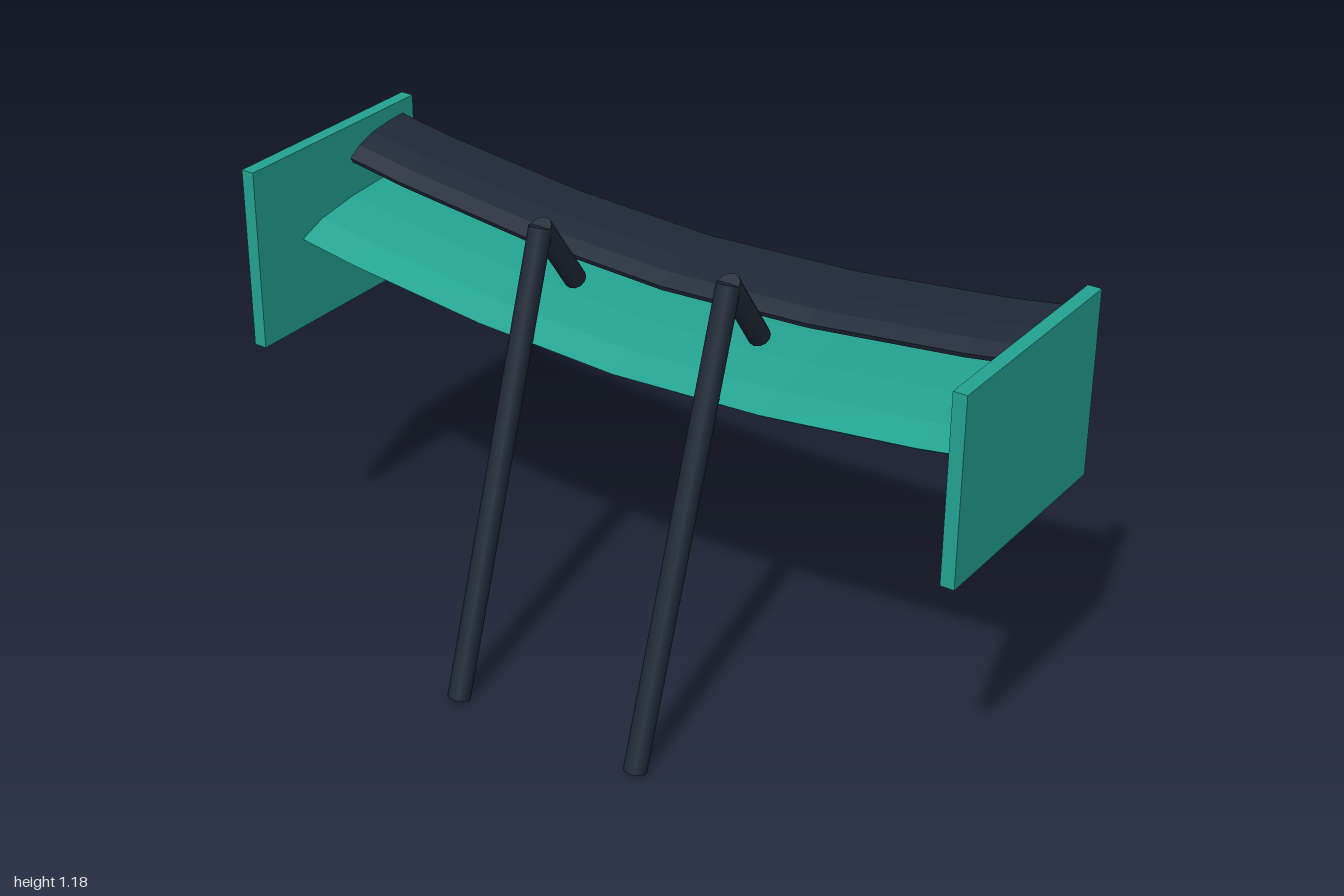
import * as THREE from 'three';

const STATIONS = [-0.97, -0.8, -0.4, 0, 0.4, 0.8, 0.97];

// Loft a closed [z, y] profile across the span; the tips rise and sweep back.
function loftWing(profile) {
  const at = (x, [z, y]) => [x, y + 0.08 * (x / 0.97) ** 2, z - 0.02 * Math.abs(x) / 0.97];
  const n = profile.length;
  const pos = [];
  for (let i = 0; i < STATIONS.length - 1; i++) {
    for (let j = 0; j < n; j++) {
      const p = profile[j], q = profile[(j + 1) % n];
      const a = at(STATIONS[i], p), b = at(STATIONS[i], q);
      const c = at(STATIONS[i + 1], q), d = at(STATIONS[i + 1], p);
      pos.push(...a, ...d, ...c, ...a, ...c, ...b);
    }
  }
  const g = new THREE.BufferGeometry();
  g.setAttribute('position', new THREE.Float32BufferAttribute(pos, 3));
  g.computeVertexNormals();
  return g;
}

// Round bar between two points.
function bar(from, to, radius) {
  const dir = to.clone().sub(from);
  const g = new THREE.CylinderGeometry(radius, radius, dir.length(), 12);
  g.applyQuaternion(new THREE.Quaternion().setFromUnitVectors(
    new THREE.Vector3(0, 1, 0), dir.clone().normalize()));
  const mid = from.clone().add(to).multiplyScalar(0.5);
  return g.translate(mid.x, mid.y, mid.z);
}

export function createModel() {
  const group = new THREE.Group();
  const teal = new THREE.MeshStandardMaterial({ color: 0x24a493 });
  teal.name = 'teal paint';
  const dark = new THREE.MeshStandardMaterial({ color: 0x1f2937 });
  dark.name = 'dark slate';

  const add = (name, geometry, material) => {
    const mesh = new THREE.Mesh(geometry, material);
    mesh.name = name;
    group.add(mesh);
  };

  // Main wing: nose, top surface, blunt trailing edge, underside
  add('mainWing', loftWing([
    [0.078, 0.868], [0.0, 0.897], [-0.12, 0.915], [-0.25, 0.923], [-0.352, 0.925],
    [-0.352, 0.895], [-0.2, 0.872], [-0.05, 0.858], [0.06, 0.856],
  ]), teal);

  // Smaller upper flap
  add('upperFlap', loftWing([
    [-0.119, 1.018], [-0.155, 1.041], [-0.21, 1.059], [-0.27, 1.067], [-0.328, 1.07],
    [-0.328, 1.038], [-0.25, 1.02], [-0.18, 1.008], [-0.125, 1.005],
  ]), dark);

  for (const [side, s] of [['left', 1], ['right', -1]]) {
    // End plate
    add(side + 'EndPlate', new THREE.BoxGeometry(0.035, 0.475, 0.61)
      .translate(s * 0.9825, 0.9475, -0.085), teal);

    // Support: long leaning leg, bent over into a short rear arm
    const x = s * 0.265;
    const foot = new THREE.Vector3(x, 0.009, 0.363);
    const bend = new THREE.Vector3(x, 1.145, -0.004);
    const tip = new THREE.Vector3(x, 0.955, -0.14);
    add(side + 'SupportLeg', bar(foot, bend, 0.029), dark);
    add(side + 'SupportArm', bar(bend, tip, 0.028), dark);
  }
  return group;
}
